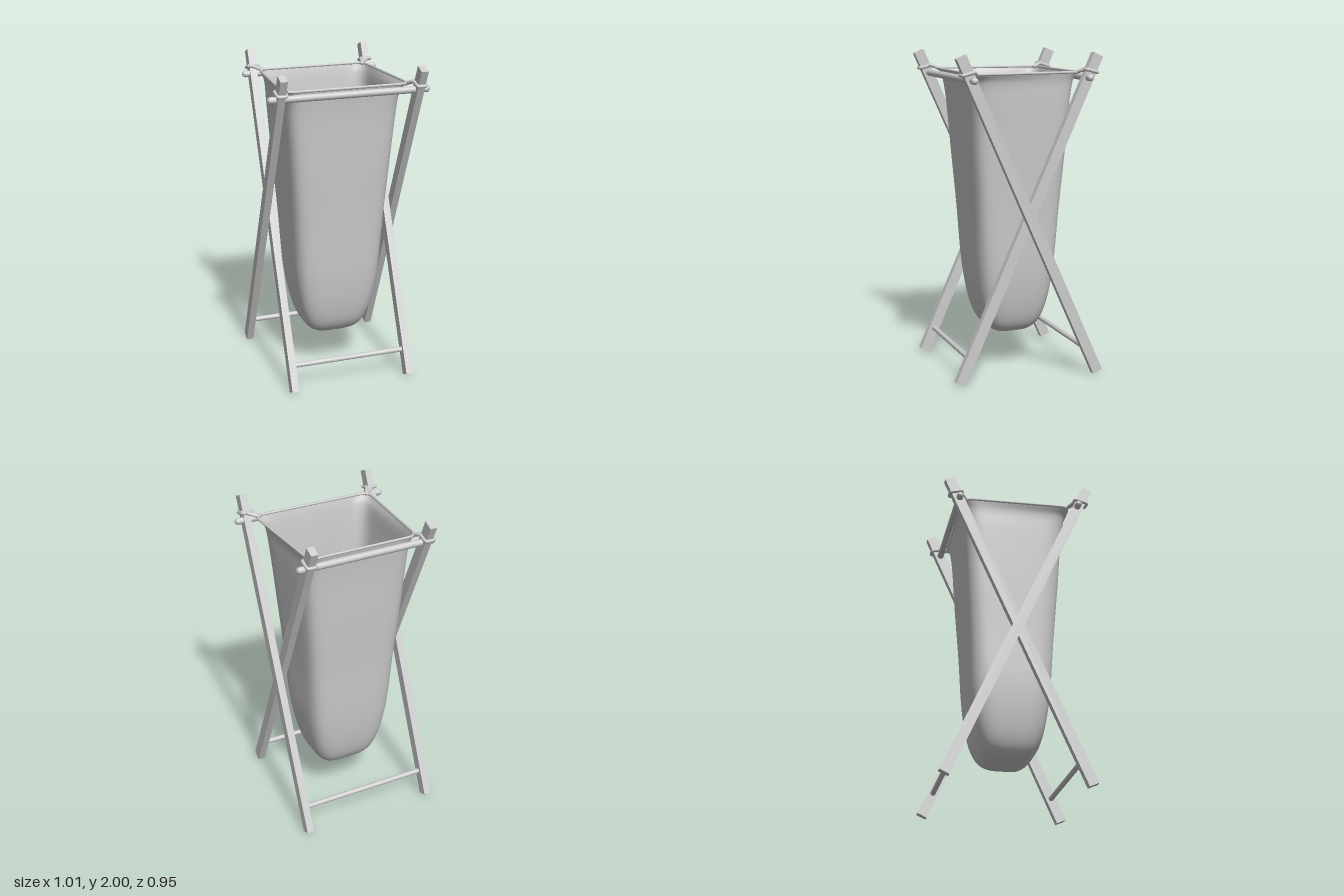
import * as THREE from 'three';

const grey = new THREE.MeshStandardMaterial({ color: 0xcccccc });
const cloth = new THREE.MeshStandardMaterial({ color: 0xcccccc, side: THREE.DoubleSide });

const TILT = Math.atan2(0.88, 1.96); // lean of the crossed legs
const OUTER_X = 0.43, INNER_X = 0.38;

export function createModel() {
  const model = new THREE.Group();
  const add = (name, geometry, material = grey) => {
    const mesh = new THREE.Mesh(geometry, material);
    mesh.name = name;
    model.add(mesh);
    return mesh;
  };

  // Crossed legs: the outer pair leans forward, the inner pair leans back
  for (const side of [-1, 1]) {
    for (const [name, x, lean] of [['outerLeg', OUTER_X, 1], ['innerLeg', INNER_X, -1]]) {
      const leg = add(name, new THREE.BoxGeometry(0.045, 2.164, 0.065));
      leg.position.set(side * x, 1, 0);
      leg.rotation.x = lean * TILT;
    }
  }

  // Round rails: long ones with domed ends on top, thin ones near the feet
  const rail = (name, y, z, radius, halfLength) => {
    const mesh = add(name, new THREE.CapsuleGeometry(radius, 2 * (halfLength - radius), 6, 20));
    mesh.rotation.z = Math.PI / 2;
    mesh.position.set(0, y, z);
  };
  rail('frontTopRail', 1.85, 0.375, 0.021, 0.505);
  rail('backTopRail', 1.85, -0.378, 0.021, 0.45);
  rail('frontFootRail', 0.16, 0.378, 0.016, 0.39);
  rail('backFootRail', 0.16, -0.378, 0.016, 0.43);

  // Cloth bag: rows of [y, half width, half depth, squareness, forward flare]
  const rows = [
    [1.88, 0.37, 0.34, 16, 0.055], [1.83, 0.352, 0.33, 10, 0.025], [1.7, 0.343, 0.316, 8, 0.01],
    [1.4, 0.322, 0.298, 7, 0], [1.0, 0.293, 0.27, 6, 0], [0.65, 0.272, 0.25, 5, 0],
    [0.45, 0.242, 0.224, 4.5, 0], [0.33, 0.208, 0.192, 4, 0], [0.27, 0.172, 0.155, 4, 0],
    [0.235, 0.12, 0.108, 4, 0], [0.22, 0.06, 0.055, 3.5, 0], [0.215, 0.001, 0.001, 3, 0],
  ];
  const size = new THREE.CatmullRomCurve3(rows.map(([y, w, d]) => new THREE.Vector3(w, y, d)));
  const form = new THREE.CatmullRomCurve3(rows.map(([, , , n, f]) => new THREE.Vector3(n, f, 0)), false, 'catmullrom', 0.3);
  const bagPoint = (t, angle) => {
    const s = size.getPoint(t), k = form.getPoint(t);
    const c = Math.cos(angle), q = Math.sin(angle);
    const r = (Math.abs(c) ** k.x + Math.abs(q) ** k.x) ** (-1 / k.x);
    return new THREE.Vector3(r * c * s.x * (1 + k.y * r * q), s.y, r * q * s.z);
  };
  const AROUND = 96, DOWN = 55;
  const positions = [], index = [];
  for (let i = 0; i <= DOWN; i++) {
    for (let j = 0; j < AROUND; j++) {
      positions.push(...bagPoint(i / DOWN, (j / AROUND) * Math.PI * 2).toArray());
      if (i === DOWN) continue;
      const a = i * AROUND + j, b = i * AROUND + ((j + 1) % AROUND);
      index.push(a, b, a + AROUND, b, b + AROUND, a + AROUND);
    }
  }
  const bag = new THREE.BufferGeometry();
  bag.setAttribute('position', new THREE.Float32BufferAttribute(positions, 3));
  bag.setIndex(index);
  bag.computeVertexNormals();
  add('bag', bag, cloth);

  // Rolled hem around the mouth
  const hem = [];
  for (let j = 0; j < AROUND; j++) hem.push(bagPoint(0, (j / AROUND) * Math.PI * 2));
  add('hem', new THREE.TubeGeometry(new THREE.CatmullRomCurve3(hem, true), 192, 0.008, 8, true));

  // Corner ties: a loop around each leg and two strands back to the bag corner
  for (const side of [-1, 1]) {
    for (const front of [1, -1]) {
      const x = side * (front > 0 ? OUTER_X : INNER_X);
      const corner = bagPoint(0, Math.atan2(front, side));
      const center = new THREE.Vector3(x, 1.89, front * 0.4);
      const loop = [];
      for (let j = 0; j < 24; j++) {
        const a = (j / 24) * Math.PI * 2;
        const c = Math.cos(a), s = Math.sin(a);
        const r = (c ** 6 + s ** 6) ** (-1 / 6);
        loop.push(new THREE.Vector3(0.028 * r * c, 0, 0.039 * r * s)
          .applyAxisAngle(new THREE.Vector3(1, 0, 0), front * TILT * 0.6).add(center));
      }
      add('tieLoop', new THREE.TubeGeometry(new THREE.CatmullRomCurve3(loop, true), 72, 0.011, 8, true));
      for (const edge of [-1, 1]) {
        const end = new THREE.Vector3(x + edge * 0.028, 1.9, front * 0.385);
        const middle = corner.clone().lerp(end, 0.5);
        middle.y += 0.004;
        const path = new THREE.CatmullRomCurve3([corner, middle, end]);
        add('tieStrand', new THREE.TubeGeometry(path, 12, 0.011, 8));
      }
      const knot = add('tieKnot', new THREE.SphereGeometry(0.014, 12, 8));
      knot.position.copy(corner);
    }
  }
  return model;
}
